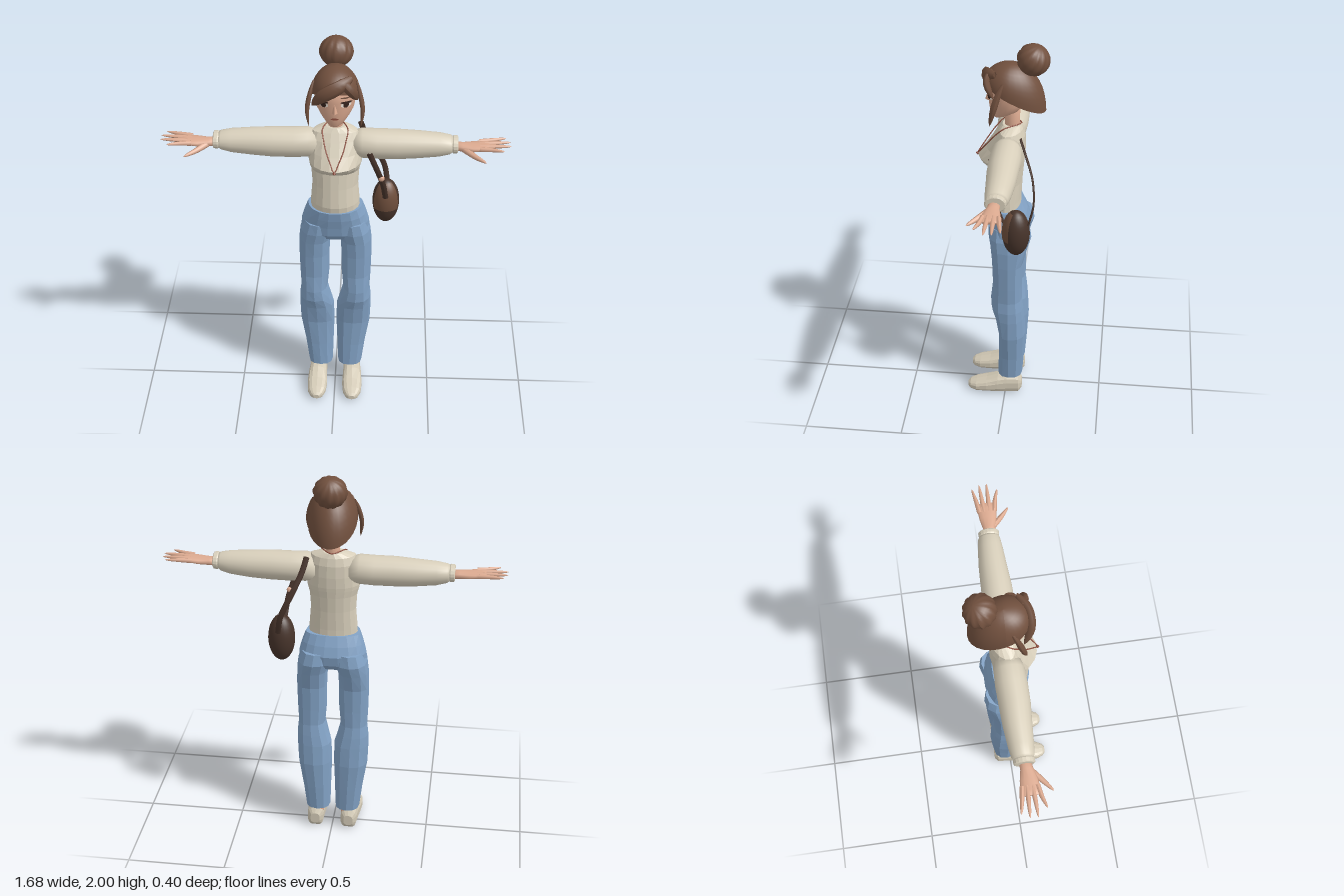
import * as THREE from 'three';

const mat = (name, color, side = THREE.FrontSide) =>
  Object.assign(new THREE.MeshStandardMaterial({ color, side }), { name });

const M = {
  cream: mat('cream knit', 0xd8cfbb),
  shoe: mat('shoe canvas', 0xd3cab6),
  denim: mat('blue denim', 0x83a3c6),
  skin: mat('skin', 0xdcaa90),
  hair: mat('brown hair', 0x71503e, THREE.DoubleSide),
  leather: mat('dark leather', 0x47342b, THREE.DoubleSide),
  flap: mat('flap leather', 0x6e4e3c, THREE.DoubleSide),
  dark: mat('dark eye', 0x35231c),
  lip: mat('lip and necklace', 0x8f5040),
  white: mat('eye white', 0xe8ded2),
};

function flat(g) {
  const f = g.index ? g.toNonIndexed() : g;
  f.computeVertexNormals();
  return f;
}

// Closed skin over rings [along, c1, c2, r1, r2 plus side, r2 minus side]; axis 0 = x, 1 = y, 2 = z
function loft(rings, n, axis = 1, power = 1) {
  const pos = [], idx = [];
  const soft = v => Math.sign(v) * Math.abs(v) ** power;
  const put = (c1, along, c2) => {
    const p = [];
    p[axis] = along;
    p[(axis + 1) % 3] = c2;
    p[(axis + 2) % 3] = c1;
    pos.push(...p);
  };
  for (const [along, c1, c2, r1, r2, r2b = r2] of rings)
    for (let j = 0; j < n; j++) {
      const a = (j / n) * Math.PI * 2, s = soft(Math.sin(a));
      put(c1 + r1 * soft(Math.cos(a)), along, c2 + (s > 0 ? r2 : r2b) * s);
    }
  const last = rings.length - 1;
  for (const r of [rings[0], rings[last]]) put(r[1], r[0], r[2]);
  const c0 = rings.length * n;
  for (let j = 0; j < n; j++) {
    const k = (j + 1) % n;
    for (let i = 0; i < last; i++) {
      const a = i * n + j, b = i * n + k;
      idx.push(a, a + n, b, b, a + n, b + n);
    }
    idx.push(c0, j, k, c0 + 1, last * n + k, last * n + j);
  }
  const g = new THREE.BufferGeometry();
  g.setAttribute('position', new THREE.Float32BufferAttribute(pos, 3));
  g.setIndex(idx);
  g.computeVertexNormals();
  return g;
}

// Tube along points, tapered by a rule and squashed per axis
function lock(points, r, taper = () => 1, squash = [1, 1, 1], closed = false) {
  const curve = new THREE.CatmullRomCurve3(points.map(p => new THREE.Vector3(...p)), closed);
  const seg = closed ? 40 : 14, sides = 8;
  const g = new THREE.TubeGeometry(curve, seg, r, sides, closed);
  const P = g.attributes.position, v = new THREE.Vector3(), s = new THREE.Vector3(...squash);
  for (let i = 0; i < P.count; i++) {
    const t = Math.floor(i / (sides + 1)) / seg, c = curve.getPointAt(t);
    v.fromBufferAttribute(P, i).sub(c).multiply(s).multiplyScalar(taper(t)).add(c);
    P.setXYZ(i, v.x, v.y, v.z);
  }
  g.computeVertexNormals();
  return g;
}

function mirror(g) {
  const m = g.index ? g.toNonIndexed() : g.clone();
  m.scale(-1, 1, 1);
  for (const a of Object.values(m.attributes))
    for (let i = 0; i < a.count; i += 3)
      for (let k = 0; k < a.itemSize; k++) {
        const t = a.getComponent(i + 1, k);
        a.setComponent(i + 1, k, a.getComponent(i + 2, k));
        a.setComponent(i + 2, k, t);
      }
  return m;
}

// Ring from limits: height, x from-to, z back-front
const span = (y, x0, x1, zb, zf) => [y, (x0 + x1) / 2, -0.02, (x1 - x0) / 2, zf + 0.02, -0.02 - zb];

export function createModel() {
  const model = new THREE.Group();
  model.name = 'woman';
  const add = (name, g, m) => {
    const mesh = new THREE.Mesh(g, m);
    mesh.name = name;
    model.add(mesh);
    return mesh;
  };
  const pair = (name, g, m) => {
    add(name + 'Left', g, m);
    add(name + 'Right', mirror(g), m);
  };

  // Torso and neck
  add('top', flat(loft([
    [1.12, 0, 0, 0.122, 0.095, 0.07], [1.18, 0, 0, 0.12, 0.103, 0.07], [1.28, 0, 0, 0.112, 0.09, 0.075],
    [1.36, 0, 0, 0.117, 0.08, 0.082], [1.395, 0, 0, 0.127, 0.125, 0.086], [1.415, 0, 0, 0.13, 0.14, 0.088],
    [1.47, 0, 0, 0.126, 0.1, 0.09], [1.53, 0, 0, 0.122, 0.06, 0.088], [1.568, 0, 0, 0.108, 0.035, 0.078],
    [1.588, 0, -0.02, 0.05, 0.042, 0.048]], 18)), M.cream);
  add('neck', loft([[1.55, 0, -0.025, 0.042, 0.042], [1.6, 0, -0.025, 0.034, 0.036],
    [1.69, 0, -0.025, 0.036, 0.038]], 14), M.skin);

  // Jeans
  add('jeansHips', flat(loft([
    span(0.965, -0.12, 0.12, -0.08, 0.06), span(1, -0.172, 0.172, -0.11, 0.083), span(1.05, -0.168, 0.168, -0.118, 0.09),
    span(1.1, -0.154, 0.154, -0.1, 0.1), span(1.15, -0.136, 0.136, -0.075, 0.106)], 18, 1, 0.9)), M.denim);
  pair('jeansLeg', flat(loft([
    span(0.115, 0.014, 0.141, -0.088, 0.04), span(0.25, 0.01, 0.157, -0.098, 0.035),
    span(0.4, 0.005, 0.181, -0.106, 0.033), span(0.51, 0.008, 0.185, -0.1, 0.052),
    span(0.57, 0.025, 0.184, -0.094, 0.07), span(0.63, 0.04, 0.177, -0.086, 0.072),
    span(0.72, 0.032, 0.181, -0.086, 0.062), span(0.85, 0.03, 0.184, -0.09, 0.066),
    span(0.94, 0.026, 0.182, -0.112, 0.074), span(1.0, 0.008, 0.175, -0.13, 0.084),
    span(1.06, 0.012, 0.155, -0.12, 0.085)], 12, 1, 0.85)), M.denim);

  // Shoes and ankles, soles kept flat
  pair('ankle', new THREE.CylinderGeometry(0.036, 0.036, 0.09, 12).translate(0.082, 0.11, -0.035), M.skin);
  const shoe = loft([
    [-0.087, 0.05, 0.088, 0.03, 0.025], [-0.07, 0.05, 0.088, 0.055, 0.042], [-0.01, 0.05, 0.09, 0.058, 0.046],
    [0.04, 0.045, 0.092, 0.052, 0.05], [0.1, 0.036, 0.093, 0.038, 0.053], [0.155, 0.028, 0.094, 0.03, 0.048],
    [0.187, 0.025, 0.094, 0.022, 0.033], [0.2, 0.024, 0.094, 0.012, 0.016]], 14, 2, 0.75);
  const sp = shoe.attributes.position;
  for (let i = 0; i < sp.count; i++) sp.setY(i, Math.max(0, sp.getY(i)));
  pair('shoe', flat(shoe), M.shoe);

  // Sleeves and cuffs
  pair('sleeve', loft([
    [0.08, -0.01, 1.495, 0.06, 0.06], [0.13, -0.01, 1.495, 0.073, 0.073], [0.2, -0.01, 1.492, 0.076, 0.073],
    [0.3, -0.009, 1.492, 0.074, 0.073], [0.4, -0.011, 1.492, 0.068, 0.067], [0.5, -0.01, 1.494, 0.06, 0.058],
    [0.55, -0.009, 1.496, 0.053, 0.046], [0.565, -0.008, 1.498, 0.044, 0.036]], 18, 0), M.cream);
  pair('cuff', flat(loft([
    [0.558, -0.007, 1.498, 0.046, 0.037], [0.566, -0.007, 1.498, 0.05, 0.042],
    [0.583, -0.007, 1.498, 0.05, 0.041], [0.587, -0.007, 1.498, 0.044, 0.036]], 18, 0)), M.cream);

  // Hands
  pair('palm', loft([
    [0.57, -0.003, 1.49, 0.028, 0.022], [0.61, 0, 1.49, 0.03, 0.02], [0.66, 0.002, 1.492, 0.042, 0.018],
    [0.71, 0.002, 1.498, 0.046, 0.013], [0.735, 0.002, 1.501, 0.04, 0.009]], 12, 0), M.skin);
  const tip = t => Math.sqrt(Math.max(0, 1 - t ** 3)) * (1 - 0.3 * t);
  [[-0.034, -0.056, 0.82], [-0.011, -0.019, 0.84], [0.014, 0.018, 0.842], [0.036, 0.066, 0.805]].forEach(([z0, z1, x], i) =>
    pair('finger' + (i + 1), lock([[0.69, 1.499, z0], [0.75, 1.503, (z0 * 0.6 + z1 * 0.4)], [x, 1.507, z1]], 0.0125, tip), M.skin));
  pair('thumb', lock([[0.615, 1.486, 0.015], [0.665, 1.474, 0.062], [0.72, 1.467, 0.108]], 0.016, tip), M.skin);

  // Head and face
  add('head', loft([
    [1.621, 0, 0.045, 0.016, 0.018], [1.638, 0, 0.03, 0.042, 0.047, 0.04], [1.67, 0, 0, 0.07, 0.083, 0.06],
    [1.71, 0, 0, 0.089, 0.088, 0.088], [1.76, 0, 0, 0.098, 0.09, 0.1], [1.81, 0, 0, 0.1, 0.09, 0.1],
    [1.86, 0, -0.01, 0.08, 0.065, 0.085], [1.89, 0, -0.01, 0.03, 0.03, 0.03]], 24), M.skin);
  const nose = new THREE.ConeGeometry(0.014, 0.055, 4, 1).scale(1, 1, 1.2);
  add('nose', flat(nose.translate(0, 1.737, 0.088)), M.skin);
  // Thin patch curved to the face
  const patch = (x, y, w, h, lift, turn = 0) => {
    const g = new THREE.CircleGeometry(1, 16).scale(w, h, 1).rotateZ(turn).translate(x, y, 0);
    const p = g.attributes.position;
    for (let i = 0; i < p.count; i++)
      p.setZ(i, 0.09 * Math.sqrt(Math.max(0, 1 - (p.getX(i) / 0.098) ** 2)) + lift);
    g.computeVertexNormals();
    return g;
  };
  pair('eyeWhite', patch(0.053, 1.753, 0.024, 0.014, 0.004), M.white);
  pair('iris', patch(0.053, 1.753, 0.013, 0.014, 0.006), M.dark);
  pair('lashes', patch(0.055, 1.766, 0.027, 0.006, 0.007, -0.1), M.dark);
  pair('eyebrow', patch(0.052, 1.79, 0.026, 0.004, 0.006, -0.1), M.hair);
  add('mouth', patch(0, 1.678, 0.02, 0.005, -0.001), M.lip);

  // Hair cap: dome whose rim drops and flares toward the back
  const cap = new THREE.SphereGeometry(1, 28, 10, 0, Math.PI * 2, 0, Math.PI / 2);
  const cp = cap.attributes.position;
  for (let i = 0; i < cp.count; i++) {
    const x = cp.getX(i), y = cp.getY(i), z = cp.getZ(i);
    const s = z / (Math.hypot(x, z) || 1);
    const rim = 1.755 + s * (s > 0 ? 0.06 : 0.089);
    cp.setXYZ(i, x * 0.118, rim + (1.905 - rim) * y, z * (z > 0 ? 0.125 : 0.165) - 0.02);
  }
  cap.computeVertexNormals();
  add('hairCap', cap, M.hair);
  const leaf = t => Math.sin(Math.PI * (0.08 + 0.92 * t)) ** 0.7 || 0;
  add('sweptFringe', lock([[0.075, 1.875, 0.05], [0.02, 1.85, 0.093], [-0.05, 1.81, 0.1], [-0.108, 1.735, 0.06]],
    0.036, leaf, [1, 1, 0.6]), M.hair);
  add('sideFringe', lock([[0.02, 1.875, 0.07], [0.07, 1.835, 0.09], [0.107, 1.765, 0.055]], 0.026, leaf, [1, 1, 0.6]), M.hair);
  pair('faceStrand', lock([[0.1, 1.84, 0.01], [0.118, 1.78, 0.035], [0.13, 1.71, 0.055], [0.122, 1.63, 0.072]],
    0.016, leaf, [0.7, 1, 1]), M.hair);

  // Bun with swirled ridges
  const bun = new THREE.SphereGeometry(1, 48, 20);
  const bp = bun.attributes.position;
  for (let i = 0; i < bp.count; i++) {
    const x = bp.getX(i), y = bp.getY(i), z = bp.getZ(i), r = Math.hypot(x, z);
    const k = 1 + 0.05 * r * Math.cos(12 * Math.atan2(z, x) + 3 * y);
    bp.setXYZ(i, x * k, y, z * k);
  }
  bun.scale(0.078, 0.075, 0.076).rotateX(-0.4).translate(0, 1.925, -0.122);
  bun.computeVertexNormals();
  add('bun', bun, M.hair);

  // Necklace
  const half = [[0.02, 1.452, 0.119], [0.04, 1.495, 0.089], [0.053, 1.54, 0.056], [0.06, 1.583, 0.012]];
  add('necklace', lock([[0, 1.415, 0.144], ...half, [0, 1.592, -0.07],
    ...half.slice().reverse().map(([x, y, z]) => [-x, y, z])], 0.003, () => 1, [1, 1, 1], true), M.lip);
  add('pendant', new THREE.OctahedronGeometry(0.01).translate(0, 1.412, 0.144), M.lip);

  // Shoulder bag
  add('bag', new THREE.SphereGeometry(1, 28, 18).scale(0.067, 0.123, 0.067).translate(0.25, 1.127, -0.068), M.leather);
  add('bagFlap', new THREE.SphereGeometry(1, 18, 12, Math.PI * 0.16, Math.PI * 0.68, 0.4, 1.4)
    .scale(0.0685, 0.1245, 0.0685).translate(0.25, 1.127, -0.068), M.flap);
  add('frontStrap', lock([[0.165, 1.48, 0.066], [0.205, 1.38, 0.062], [0.232, 1.29, 0.035], [0.248, 1.18, -0.008]],
    0.014, () => 1, [1, 1, 0.35]), M.leather);
  add('strapRing', new THREE.SphereGeometry(0.016, 12, 8).scale(1, 1, 0.7).translate(0.225, 1.33, 0.05), M.skin);
  add('backStrap', lock([[0.12, 1.57, -0.075], [0.14, 1.5, -0.1], [0.19, 1.39, -0.14], [0.24, 1.28, -0.15], [0.258, 1.18, -0.128]],
    0.014, () => 1, [1, 1, 0.35]), M.leather);

  return model;
}
